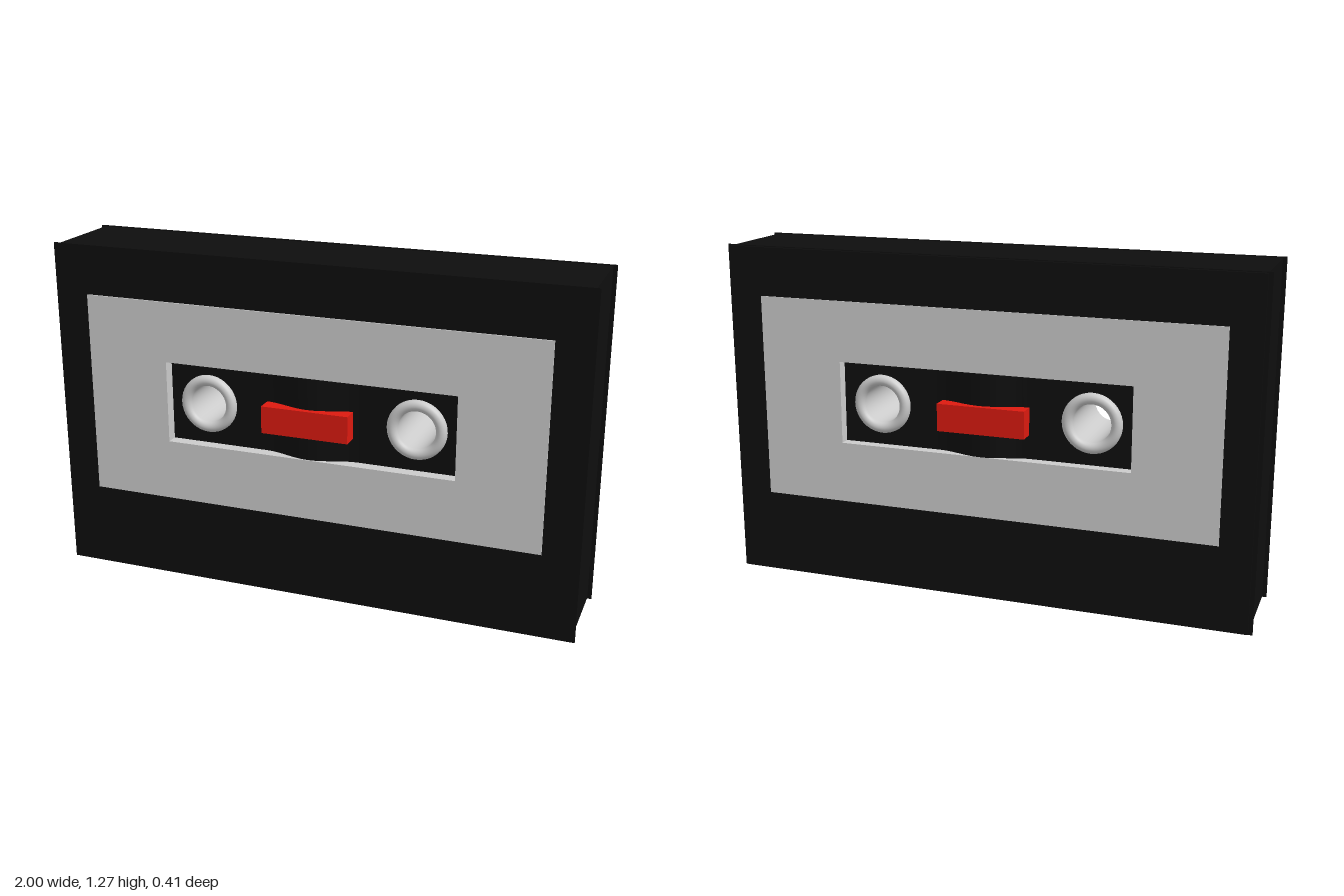
import * as THREE from 'three';

const black = new THREE.MeshStandardMaterial({ color: 0x0e0e0e });
const grey = new THREE.MeshStandardMaterial({ color: 0xcccccc });
const white = new THREE.MeshStandardMaterial({ color: 0xf0f0f0, side: THREE.DoubleSide });
const red = new THREE.MeshStandardMaterial({ color: 0xdd1a10 });

const LABEL = [-0.87, 0.32, 0.865, 1.087];
const WINDOW = [-0.555, 0.55, 0.55, 0.86];
const REELS = [-0.403, 0.397];
const REEL_Y = 0.705;
const FLOOR = 0.145;

function rect(Type, [x0, y0, x1, y1]) {
  const s = new Type();
  s.moveTo(x0, y0).lineTo(x1, y0).lineTo(x1, y1).lineTo(x0, y1).closePath();
  return s;
}

// Plate from z0 to z1 with the given holes
function plate(name, outline, holes, z0, z1, material) {
  const shape = rect(THREE.Shape, outline);
  shape.holes.push(...holes);
  const geo = new THREE.ExtrudeGeometry(shape, { depth: z1 - z0, bevelEnabled: false, curveSegments: 24 });
  const mesh = new THREE.Mesh(geo.translate(0, 0, z0), material);
  mesh.name = name;
  return mesh;
}

// Rounded ridge rising from the window floor between the reels
function windowRidge(side) {
  const s = new THREE.Shape();
  const n = 20, half = 0.18;
  s.moveTo(-half, FLOOR - 0.01);
  s.lineTo(half, FLOOR - 0.01);
  for (let i = 0; i <= n; i++) {
    const x = half - (2 * half * i) / n;
    s.lineTo(x, FLOOR + 0.02 * (1 + Math.cos((Math.PI * x) / half)));
  }
  const height = WINDOW[3] - WINDOW[1];
  const geo = new THREE.ExtrudeGeometry(s, { depth: height, bevelEnabled: false });
  geo.rotateX(Math.PI / 2);
  if (side > 0) geo.translate(0, WINDOW[3], 0);
  else geo.rotateX(Math.PI).translate(0, WINDOW[1], 0);
  // The profile's depth axis now points along z
  const mesh = new THREE.Mesh(geo, black);
  mesh.name = 'windowRidge';
  return mesh;
}

// Hollow hub with a rounded lip at both ends
function reelHub(x) {
  const pts = [];
  const lip = (zc, from, to) => {
    for (let i = 0; i <= 12; i++) {
      const a = from + ((to - from) * i) / 12;
      pts.push(new THREE.Vector2(0.09 + 0.02 * Math.cos(a), zc + 0.02 * Math.sin(a)));
    }
  };
  lip(-0.15, -Math.PI, 0);
  lip(0.15, 0, Math.PI);
  pts.push(pts[0].clone());
  const geo = new THREE.LatheGeometry(pts, 40).rotateX(Math.PI / 2);
  const mesh = new THREE.Mesh(geo, white);
  mesh.position.set(x, REEL_Y, 0);
  mesh.name = 'reelHub';
  return mesh;
}

export function createModel() {
  const model = new THREE.Group();
  model.name = 'cassette';
  const body = [-0.985, 0.004, 0.985, 1.268];
  const rim = [-1, 0, 1, 1.272];

  // Core with the two reel holes
  const reelHoles = REELS.map((x) => {
    const p = new THREE.Path();
    p.absarc(x, REEL_Y, 0.1, 0, Math.PI * 2, true);
    return p;
  });
  model.add(plate('bodyCore', body, reelHoles, -FLOOR, FLOOR, black));

  // Frames around the labels, and the thin rims that overhang the body
  const labelHole = () => [rect(THREE.Path, LABEL)];
  model.add(plate('frontFrame', body, labelHole(), FLOOR, 0.18, black));
  model.add(plate('backFrame', body, labelHole(), -0.182, -FLOOR, black));
  model.add(plate('frontRim', rim, labelHole(), 0.179, 0.184, black));
  model.add(plate('backRim', rim, labelHole(), -0.17, -0.165, black));

  // Labels with the window cut out
  const windowHole = () => [rect(THREE.Path, WINDOW)];
  model.add(plate('frontLabel', LABEL, windowHole(), FLOOR, 0.19, grey));
  model.add(plate('backLabel', LABEL, windowHole(), -0.185, -FLOOR, grey));

  // Ridge and red block on each side
  for (const side of [1, -1]) {
    model.add(windowRidge(side));
    const block = new THREE.Mesh(new THREE.BoxGeometry(0.33, 0.102, 0.065), red);
    block.position.set(-0.006, 0.69, side * 0.1735);
    block.name = 'redBlock';
    model.add(block);
  }

  for (const x of REELS) model.add(reelHub(x));
  return model;
}
